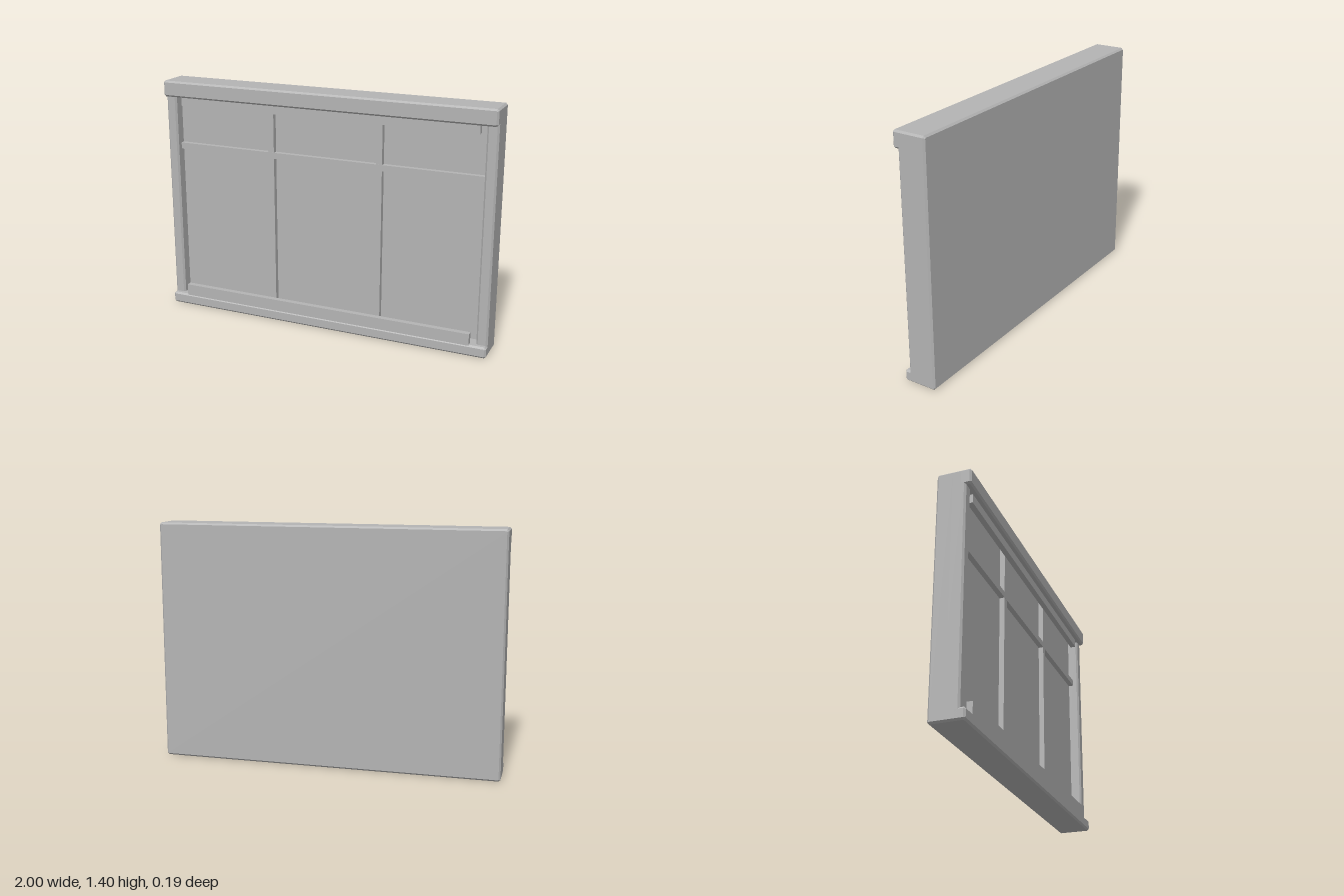
import * as THREE from 'three';

const C = 0.01; // chamfer width

// Rectangle outline with cut corners
function outline(x0, x1, y0, y1, c = C) {
  return [
    [x0 + c, y0], [x1 - c, y0], [x1, y0 + c], [x1, y1 - c],
    [x1 - c, y1], [x0 + c, y1], [x0, y1 - c], [x0, y0 + c],
  ].map(([x, y]) => new THREE.Vector2(x, y));
}

// Slab between z0 and z1 with chamfered edges and an optional opening
function chamfered(x0, x1, y0, y1, z0, z1, hole) {
  const shape = new THREE.Shape(outline(x0, x1, y0, y1));
  if (hole) {
    const [a, b, c, d] = hole;
    shape.holes.push(new THREE.Path([
      new THREE.Vector2(a, c), new THREE.Vector2(a, d),
      new THREE.Vector2(b, d), new THREE.Vector2(b, c),
    ]));
  }
  const geo = new THREE.ExtrudeGeometry(shape, {
    depth: z1 - z0 - 2 * C, bevelEnabled: true, bevelSegments: 1,
    bevelSize: C, bevelThickness: C, bevelOffset: -C,
  });
  return geo.translate(0, 0, z0 + C);
}

function box(x0, x1, y0, y1, z0, z1) {
  return new THREE.BoxGeometry(x1 - x0, y1 - y0, z1 - z0)
    .translate((x0 + x1) / 2, (y0 + y1) / 2, (z0 + z1) / 2);
}

export function createModel() {
  const group = new THREE.Group();
  const grey = new THREE.MeshStandardMaterial({ color: 0xb4b4b4 });
  grey.name = 'plain grey';
  const add = (name, geo) => {
    const mesh = new THREE.Mesh(geo, grey);
    mesh.name = name;
    group.add(mesh);
  };

  // Solid back, with the frame around the recessed panel
  add('backPanel', chamfered(-1, 1, 0, 1.4, -0.097, 0.005));
  add('frame', chamfered(-1, 1, 0, 1.4, -0.05, 0.068, [-0.935, 0.935, 0.066, 1.306]));

  // Projecting head and sill
  add('head', chamfered(-1, 1, 1.306, 1.4, 0.03, 0.097));
  add('sill', chamfered(-1, 1, 0, 0.066, 0.03, 0.097));

  // Loose rails under the head and on the sill
  add('topRail', box(-0.9, 0.9, 1.255, 1.31, 0.034, 0.066));
  add('bottomRail', box(-0.9, 0.9, 0.06, 0.13, 0.06, 0.092));

  // Glazing bars
  add('crossBar', box(-0.932, 0.932, 0.985, 1.021, 0, 0.035));
  for (const side of [-1, 1]) {
    const x = side * 0.332;
    add(side > 0 ? 'leftBar' : 'rightBar', box(x - 0.018, x + 0.018, 0.06, 1.31, 0, 0.0345));
  }
  return group;
}
